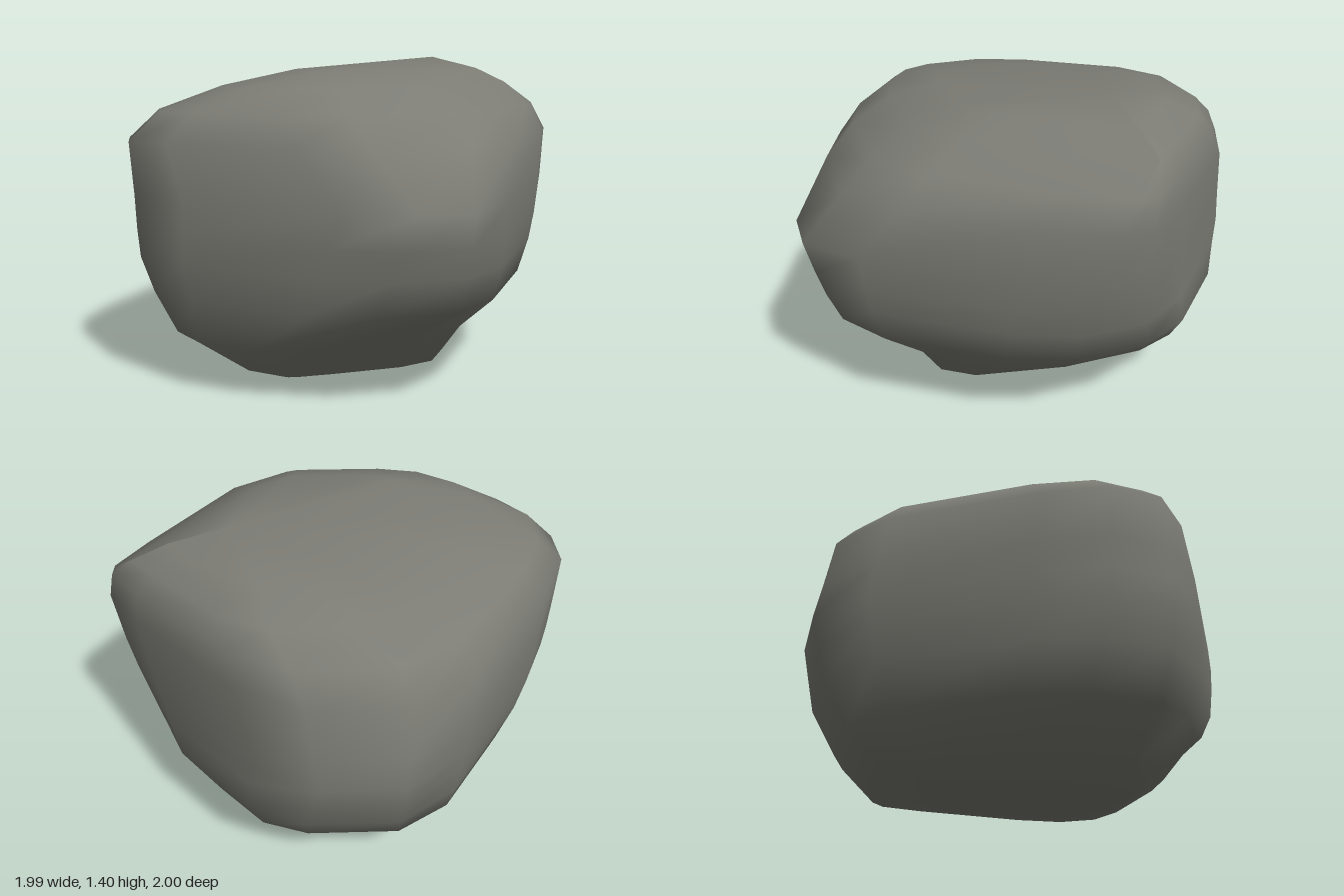
import * as THREE from 'three';

// Facing directions (x, z) of the eight sides, counter-clockwise from above
const SIDES = [
  [1, 0], [0.71, -0.7], [0, -1], [-0.82, -0.57],
  [-1, 0], [-0.57, 0.82], [0, 1], [0.82, 0.57],
];

// Each cross-section: height, then the distance of the eight sides from the axis
const SECTIONS = [
  [0.02, -0.05, 0.04, 0.15, 0.33, 0.4, 0.49, 0.35, 0.1],
  [0.085, 0.385, 0.65, 0.63, 0.55, 0.58, 0.63, 0.5, 0.47],
  [0.24, 0.62, 0.785, 0.82, 0.755, 0.83, 0.775, 0.63, 0.57],
  [0.43, 0.82, 0.87, 0.93, 0.81, 0.92, 0.835, 0.87, 0.76],
  [0.58, 0.88, 0.865, 0.97, 0.835, 0.97, 0.85, 0.93, 0.8],
  [0.7, 0.92, 0.865, 1, 0.845, 0.98, 0.855, 0.965, 0.815],
  [0.84, 0.955, 0.865, 0.975, 0.85, 0.985, 0.85, 1, 0.82],
  [1.06, 0.99, 0.865, 0.94, 0.84, 1, 0.82, 0.83, 0.81],
  [1.18, 0.96, 0.845, 0.86, 0.75, 0.87, 0.745, 0.7, 0.72],
  [1.28, 0.86, 0.795, 0.74, 0.54, 0.59, 0.61, 0.52, 0.56],
  [1.35, 0.7, 0.67, 0.55, 0.28, 0.25, 0.36, 0.32, 0.435],
];
const BOTTOM = [-0.22, 0, 0.02];
const TOP = [0.46, 1.405, -0.22];
const BEVEL = 0.2;

// Corner where two neighbouring sides meet
function corner(a, da, b, db) {
  const det = a[0] * b[1] - a[1] * b[0];
  return [(da * b[1] - db * a[1]) / det, (a[0] * db - b[0] * da) / det];
}

// Eight-sided ring with every corner bevelled into two points
function ring(distances) {
  const corners = SIDES.map((side, i) => {
    const next = (i + 1) % SIDES.length;
    return corner(side, distances[i], SIDES[next], distances[next]);
  });
  const mix = (p, q) => [p[0] + (q[0] - p[0]) * BEVEL, p[1] + (q[1] - p[1]) * BEVEL];
  return corners.flatMap((p, i) => [
    mix(p, corners[(i + 7) % 8]),
    mix(p, corners[(i + 1) % 8]),
  ]);
}

function boulderGeometry() {
  const n = SIDES.length * 2;
  const positions = [];
  const index = [];
  for (const [y, ...distances] of SECTIONS) {
    for (const [x, z] of ring(distances)) positions.push(x, y, z);
  }
  const bottom = positions.length / 3;
  positions.push(...BOTTOM, ...TOP);
  const last = (SECTIONS.length - 1) * n;
  // Skin between the rings, closed by a fan at each end
  for (let j = 0; j < n; j++) {
    const k = (j + 1) % n;
    for (let r = 0; r < last; r += n) {
      index.push(r + j, r + k, r + n + k, r + j, r + n + k, r + n + j);
    }
    index.push(bottom, k, j, last + j, last + k, bottom + 1);
  }
  const geometry = new THREE.BufferGeometry();
  geometry.setAttribute('position', new THREE.Float32BufferAttribute(positions, 3));
  geometry.setIndex(index);
  geometry.computeVertexNormals();
  return geometry;
}

export function createModel() {
  const group = new THREE.Group();
  group.name = 'rock';
  const stone = new THREE.MeshStandardMaterial({ color: 0x7c7c75 });
  stone.name = 'stone grey';
  const boulder = new THREE.Mesh(boulderGeometry(), stone);
  boulder.name = 'boulder';
  group.add(boulder);
  return group;
}
